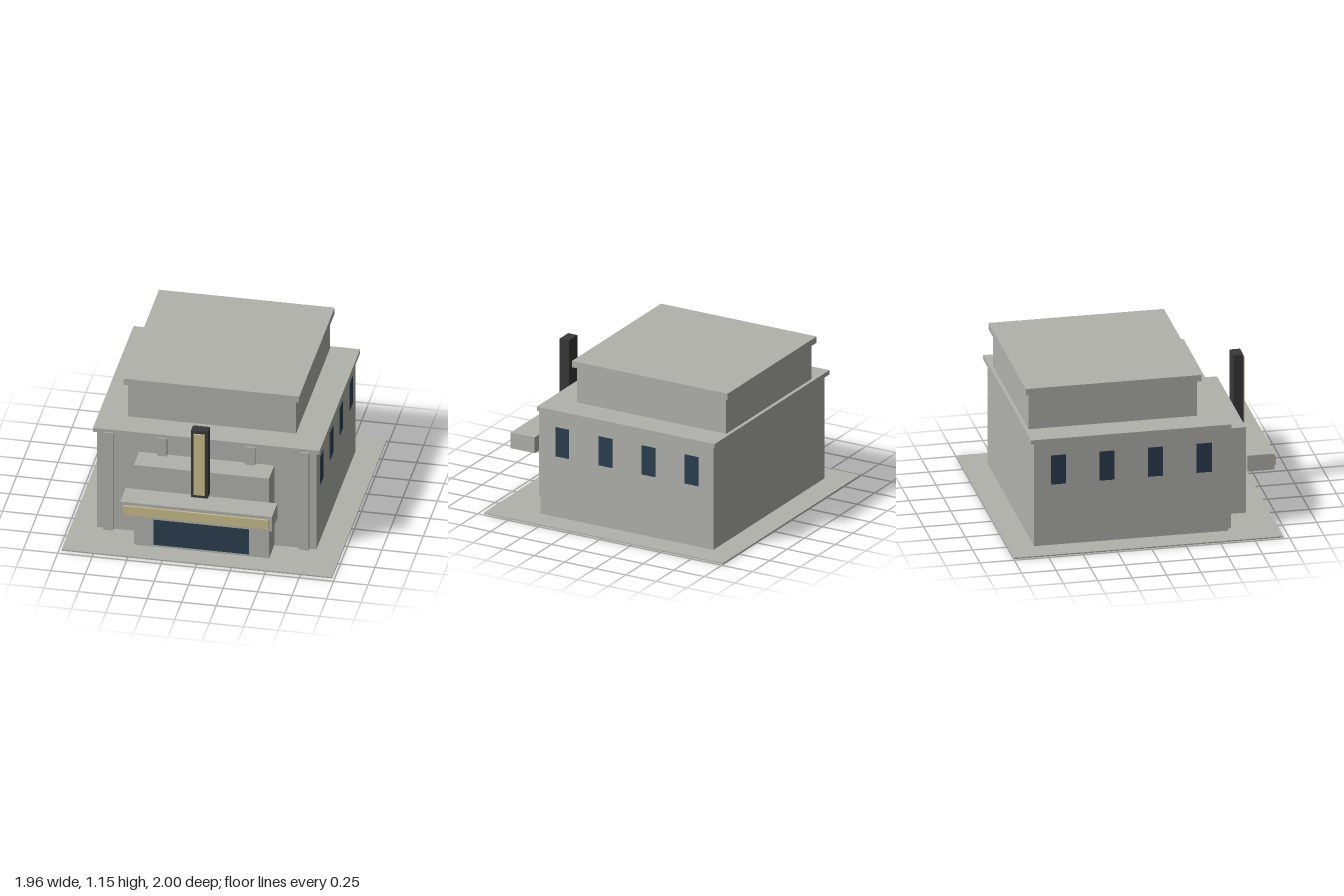
import * as THREE from 'three';

const material = (name, color) => {
  const m = new THREE.MeshStandardMaterial({ color });
  m.name = name;
  return m;
};

export function createModel() {
  const concrete = material('concrete', 0xb2b2ad);
  const glass = material('dark blue glass', 0x2c3e50);
  const cream = material('cream light panel', 0xc9bf8c);
  const charcoal = material('charcoal', 0x39383a);

  const model = new THREE.Group();
  model.name = 'theatreBuilding';

  // Box given by its extents along each axis
  const block = (name, mat, [x0, x1], [y0, y1], [z0, z1]) => {
    const mesh = new THREE.Mesh(new THREE.BoxGeometry(x1 - x0, y1 - y0, z1 - z0), mat);
    mesh.position.set((x0 + x1) / 2, (y0 + y1) / 2, (z0 + z1) / 2);
    mesh.name = name;
    model.add(mesh);
  };
  const wide = (half) => [-half, half];

  // Ground slab and the two stacked volumes with their cornices
  block('groundSlab', concrete, wide(0.98), [0, 0.01], [-1, 0.96]);
  block('mainHall', concrete, wide(0.795), [0.01, 0.802], [-0.813, 0.6]);
  block('mainCornice', concrete, wide(0.822), [0.802, 0.834], [-0.84, 0.617]);
  block('upperHall', concrete, wide(0.61), [0.834, 1.107], [-0.813, 0.41]);
  block('upperCornice', concrete, wide(0.637), [1.107, 1.155], [-0.84, 0.435]);

  // Front pilasters
  for (const x of [-0.71, -0.32, 0.32, 0.71]) {
    block('pilaster', concrete, [x - 0.035, x + 0.035], [0.01, 0.811], [0.6, 0.629]);
  }

  // Entrance block with doors
  block('entranceBlock', concrete, wide(0.49), [0.01, 0.666], [0.6, 0.79]);
  block('entranceDoors', glass, wide(0.345), [0.03, 0.322], [0.79, 0.799]);

  // Canopy with its lit panel
  block('canopy', concrete, wide(0.55), [0.349, 0.47], [0.79, 0.986]);
  block('canopyPanel', cream, wide(0.528), [0.373, 0.446], [0.986, 1]);

  // Upright sign with its lit panel
  block('uprightSign', charcoal, wide(0.061), [0.495, 1.043], [0.79, 0.865]);
  block('uprightSignPanel', cream, wide(0.04), [0.52, 1.02], [0.865, 0.875]);

  // Side windows, mirrored
  for (const side of [-1, 1]) {
    for (const z of [0.422, 0.069, -0.284, -0.637]) {
      const xs = [side * 0.795, side * 0.8].sort((a, b) => a - b);
      block('sideWindow', glass, xs, [0.474, 0.696], [z - 0.055, z + 0.055]);
    }
  }
  return model;
}
